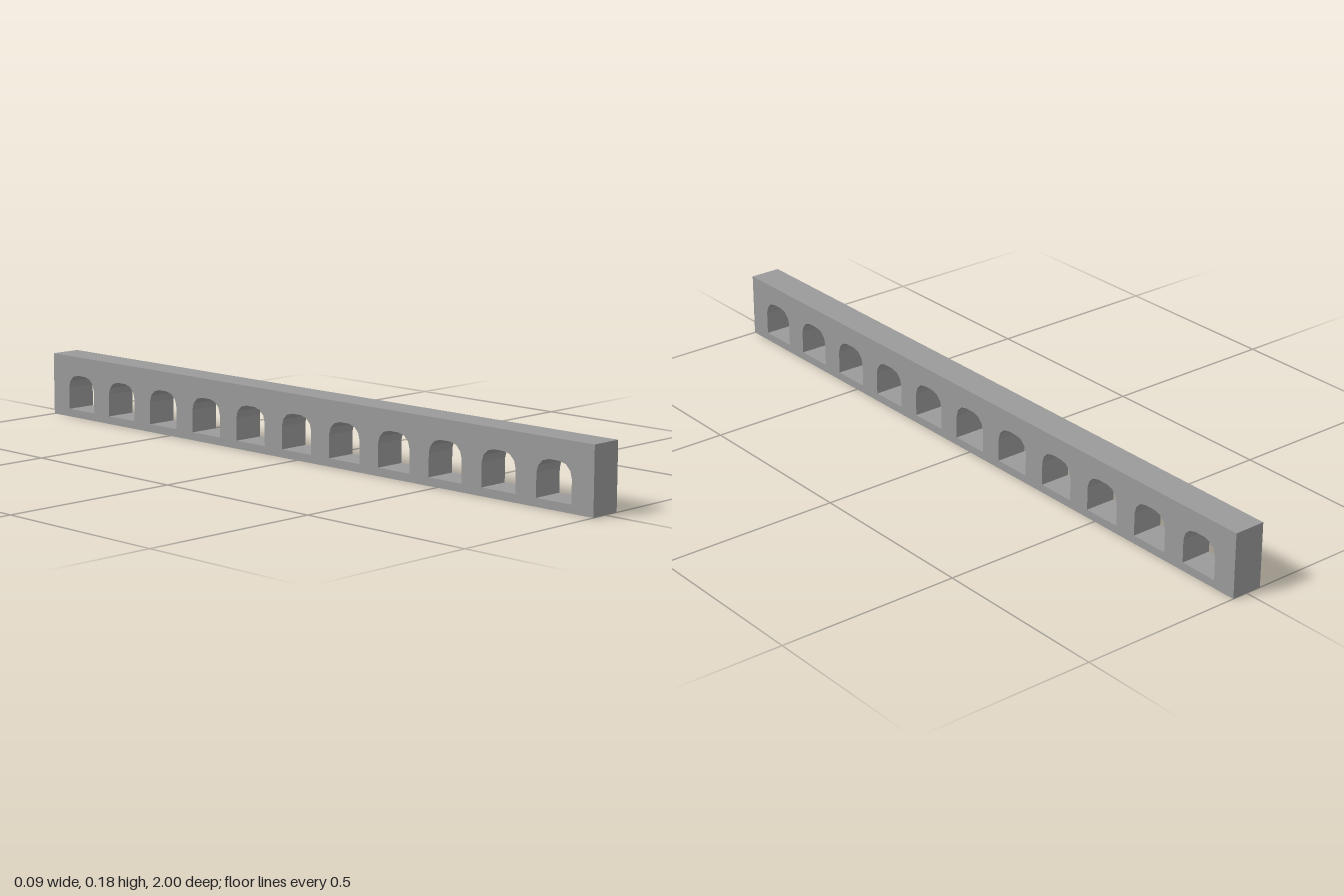
import * as THREE from 'three';

const LENGTH = 2, HEIGHT = 0.177, WIDTH = 0.088;
const ARCHES = 11, SPACING = 0.1755;
const HALF = 0.055, SILL = 0.022, CROWN = 0.123, CORNER = 0.039, SEGMENTS = 3;

// Arched opening: straight jambs, faceted rounded shoulders and a flat crown
function archHole(cx) {
  const points = [new THREE.Vector2(cx - HALF, SILL), new THREE.Vector2(cx + HALF, SILL)];
  for (const side of [1, -1]) {
    for (let i = 0; i <= SEGMENTS; i++) {
      const step = side > 0 ? i : SEGMENTS - i;
      const a = (step / SEGMENTS) * Math.PI / 2;
      points.push(new THREE.Vector2(
        cx + side * (HALF - CORNER + CORNER * Math.cos(a)),
        CROWN - CORNER + CORNER * Math.sin(a)
      ));
    }
  }
  return new THREE.Path(points);
}

export function createModel() {
  const group = new THREE.Group();
  group.name = 'arcadeWall';

  // Long wall profile pierced by a row of arches
  const profile = new THREE.Shape([
    new THREE.Vector2(-LENGTH / 2, 0),
    new THREE.Vector2(LENGTH / 2, 0),
    new THREE.Vector2(LENGTH / 2, HEIGHT),
    new THREE.Vector2(-LENGTH / 2, HEIGHT),
  ]);
  for (let i = 0; i < ARCHES; i++) {
    profile.holes.push(archHole((i - (ARCHES - 1) / 2) * SPACING));
  }

  // Extrude through the thickness and turn the length along z
  const geometry = new THREE.ExtrudeGeometry(profile, { depth: WIDTH, bevelEnabled: false });
  geometry.translate(0, 0, -WIDTH / 2);
  geometry.rotateY(Math.PI / 2);

  const wall = new THREE.Mesh(
    geometry,
    new THREE.MeshStandardMaterial({ color: 0x9a9a9a, flatShading: true })
  );
  wall.name = 'archedWall';
  group.add(wall);
  return group;
}
